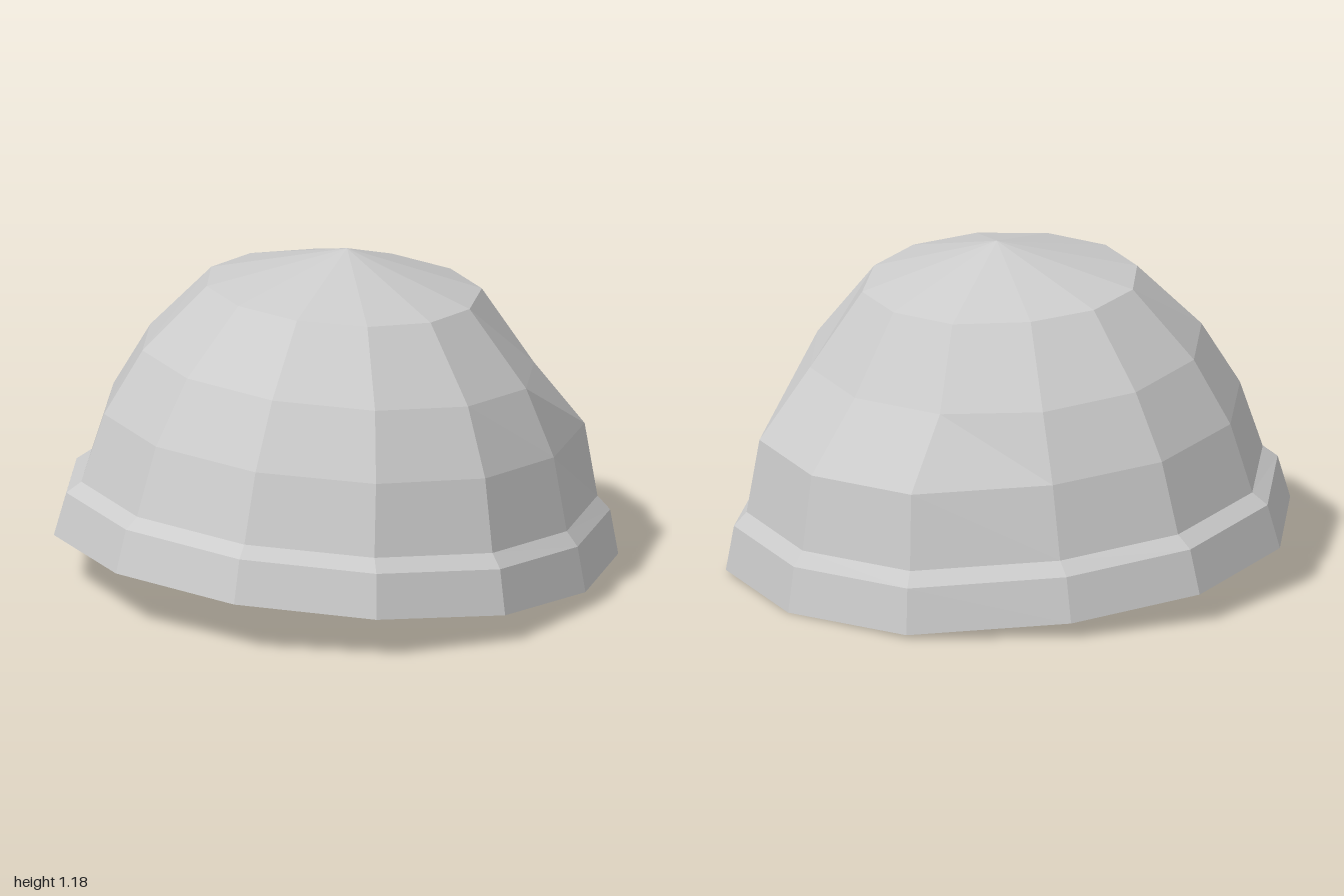
import * as THREE from 'three';

const SIDES = 12;

// A tilted twelve-sided ring: half-width r, half-depth d, centre height y and depth z,
// slope of its plane, and how far the three rear corners are pushed back.
function ring(r, d, y, z, slope, push) {
  return Array.from({ length: SIDES }, (_, i) => {
    const a = (i / SIDES) * Math.PI * 2;
    const rear = Math.abs(i - SIDES / 2) <= 1 ? push : 0;
    const pz = z + d * Math.cos(a) - rear;
    return [r * Math.sin(a), y + slope * (pz - z), pz];
  });
}

const point = (y, z) => Array.from({ length: SIDES }, () => [0, y, z]);

// Faceted skin over rings listed from the top outside down, then inward.
function skin(name, rings, material) {
  const pos = [];
  const same = (p, q) => p.every((v, k) => v === q[k]);
  const tri = (a, b, c) => {
    if (!same(a, b) && !same(b, c) && !same(a, c)) pos.push(...a, ...b, ...c);
  };
  for (let k = 0; k < rings.length - 1; k++) {
    for (let i = 0; i < SIDES; i++) {
      const j = (i + 1) % SIDES;
      const [up, low] = [rings[k], rings[k + 1]];
      tri(up[i], low[i], low[j]);
      tri(up[i], low[j], up[j]);
    }
  }
  const geometry = new THREE.BufferGeometry();
  geometry.setAttribute('position', new THREE.Float32BufferAttribute(pos, 3));
  geometry.computeVertexNormals();
  const mesh = new THREE.Mesh(geometry, material);
  mesh.name = name;
  return mesh;
}

export function createModel() {
  const group = new THREE.Group();
  group.name = 'knitCap';
  const material = new THREE.MeshStandardMaterial({ color: 0xcccccc, flatShading: true });

  const crownBase = ring(0.905, 0.865, 0.307, 0.03, 0.094, 0.09);
  const innerRim = ring(0.75, 0.705, 0.105, 0.04, 0.099, 0.075);

  // domed crown
  const crown = skin('crown', [
    point(1.18, -0.05),
    ring(0.5, 0.46, 1.04, -0.02, 0.064, 0.035),
    ring(0.72, 0.68, 0.79, -0.01, 0.088, 0.0),
    ring(0.84, 0.8, 0.56, 0.01, 0.085, 0.095),
    crownBase,
  ], material);

  // turned-up band with its flat underside
  const band = skin('band', [
    crownBase,
    ring(0.96, 0.905, 0.263, 0.04, 0.097, 0.1),
    ring(1, 0.94, 0.106, 0.05, 0.099, 0.1),
    innerRim,
  ], material);

  // shallow conical hollow underneath
  const hollow = skin('hollow', [innerRim, point(0.46, 0)], material);

  group.add(crown, band, hollow);
  return group;
}
